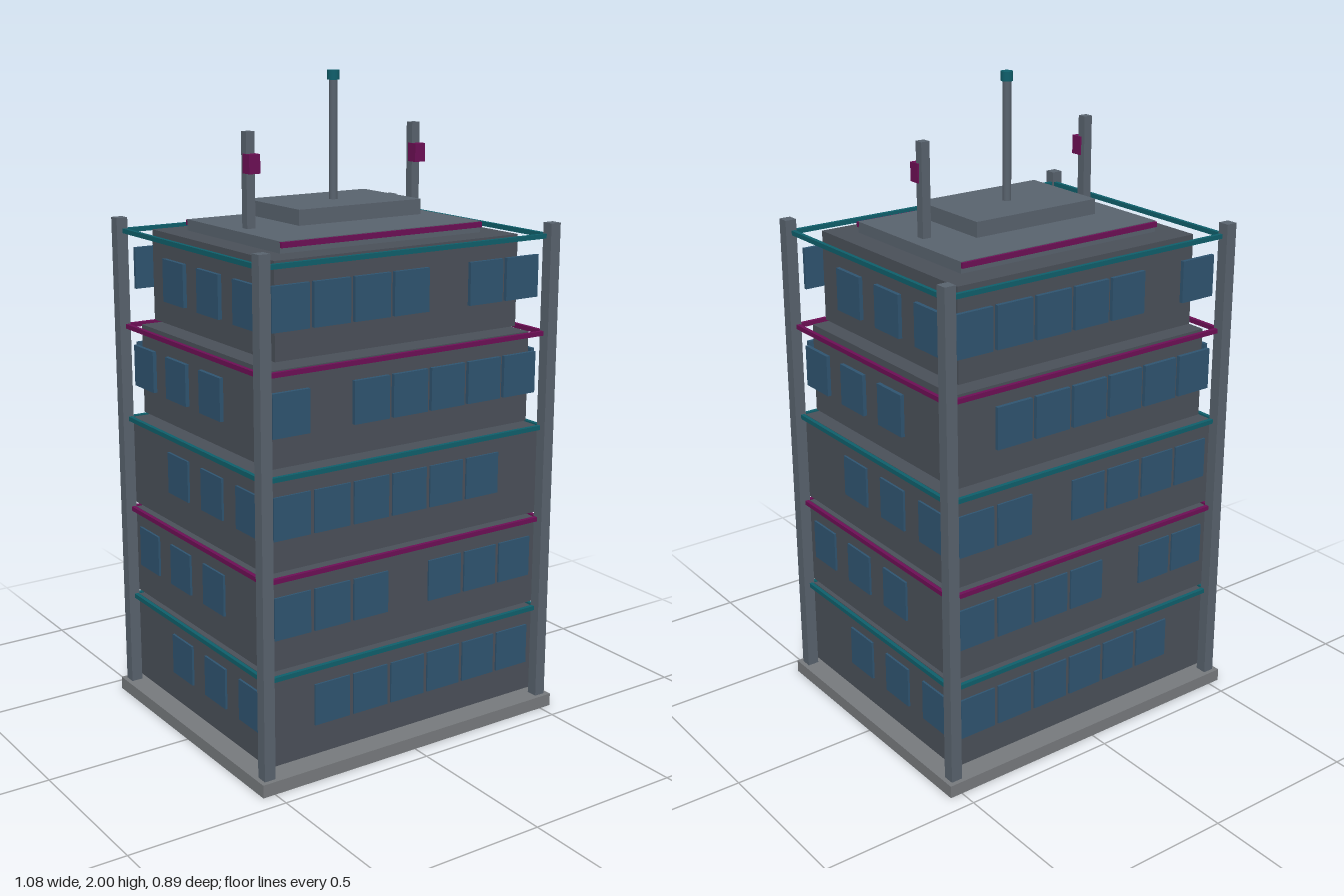
import * as THREE from 'three';

const mat = (color) => new THREE.MeshStandardMaterial({ color });

export function createModel() {
  const model = new THREE.Group();
  const concrete = mat(0x777a7d), frame = mat(0x59636e), wall = mat(0x4a5059);
  const glass = mat(0x2f5470), magenta = mat(0x6d0f55), teal = mat(0x0f5f6b);

  const group = (name) => {
    const g = new THREE.Group();
    g.name = name;
    model.add(g);
    return g;
  };
  // Box given by its size and centre
  const box = (parent, name, material, [w, h, d], [x, y, z]) => {
    const m = new THREE.Mesh(new THREE.BoxGeometry(w, h, d), material);
    m.name = name;
    m.position.set(x, y, z);
    parent.add(m);
  };

  // Foundation and corner columns
  box(model, 'foundation', concrete, [1.08, 0.04, 0.886], [0, 0.02, 0]);
  const columns = group('cornerColumns');
  for (const sx of [-1, 1]) for (const sz of [-1, 1])
    box(columns, 'column', frame, [0.036, 1.52, 0.036], [sx * 0.508, 0.798, sz * 0.411]);

  // Floors: the upper two step inward, while windows and light bars stay on the outer plane
  const pitch = 0.296;
  const scale = [1, 1, 1, 0.94, 0.875];
  const frontGap = [0, 3, 6, 1, 4]; // bay left without a window on each floor
  const backGap = [0, 2, 4, 6, 1];
  for (let f = 0; f < 5; f++) {
    const floor = group('floor' + (f + 1));
    const y = f * pitch;
    const s = scale[f];
    box(floor, 'storey', wall, [0.98 * s, 0.28, 0.788 * s + (s < 1 ? 0.008 : 0)], [0, y + 0.198, 0]);

    // Front and back windows
    for (let i = 0; i < 7; i++) {
      const x = (i - 3) * 0.136;
      if (i !== frontGap[f]) box(floor, 'frontWindow', glass, [0.122, 0.128, 0.012], [x, y + 0.216, 0.394]);
      if (i !== backGap[f]) box(floor, 'backWindow', glass, [0.122, 0.128, 0.012], [x, y + 0.216, -0.394]);
    }
    // Side windows, the empty bay alternating between the ends
    for (let i = 0; i < 4; i++) {
      if (i === (f % 2 ? 3 : 0)) continue;
      const z = 0.3 - i * 0.2;
      for (const sx of [-1, 1])
        box(floor, 'sideWindow', glass, [0.012, 0.128, 0.122], [sx * 0.491, y + 0.216, sx * z]);
    }
    // Light bars around the top of the floor
    const barMat = f % 2 ? magenta : teal;
    const barY = y + 0.334;
    for (const sd of [-1, 1]) {
      box(floor, 'lightBar', barMat, [1.0, 0.014, 0.012], [0, barY, sd * 0.403]);
      box(floor, 'lightBar', barMat, [0.012, 0.014, 0.8], [sd * 0.501, barY, 0]);
    }
  }

  // Roof deck with edge lights and a raised platform
  const roof = group('roof');
  box(roof, 'roofDeck', frame, [0.71, 0.034, 0.524], [0, 1.54, 0]);
  for (const sz of [-1, 1])
    box(roof, 'roofLight', magenta, [0.71, 0.016, 0.012], [0, 1.547, sz * 0.264]);
  box(roof, 'roofPlatform', frame, [0.434, 0.046, 0.294], [0, 1.598, 0]);

  // Central antenna with beacon
  const cylinder = (name, material, r, y0, y1) => {
    const m = new THREE.Mesh(new THREE.CylinderGeometry(r, r, y1 - y0, 16), material);
    m.name = name;
    m.position.y = (y0 + y1) / 2;
    roof.add(m);
  };
  cylinder('antenna', frame, 0.013, 1.57, 1.975);
  cylinder('beacon', teal, 0.018, 1.972, 2);

  // Side masts, each with a signal box on the front
  for (const sx of [-1, 1]) {
    box(roof, 'mast', frame, [0.028, 0.28, 0.028], [sx * 0.296, 1.696, 0]);
    box(roof, 'signalBox', magenta, [0.037, 0.056, 0.037], [sx * 0.296, 1.745, 0.0185]);
  }
  return model;
}
